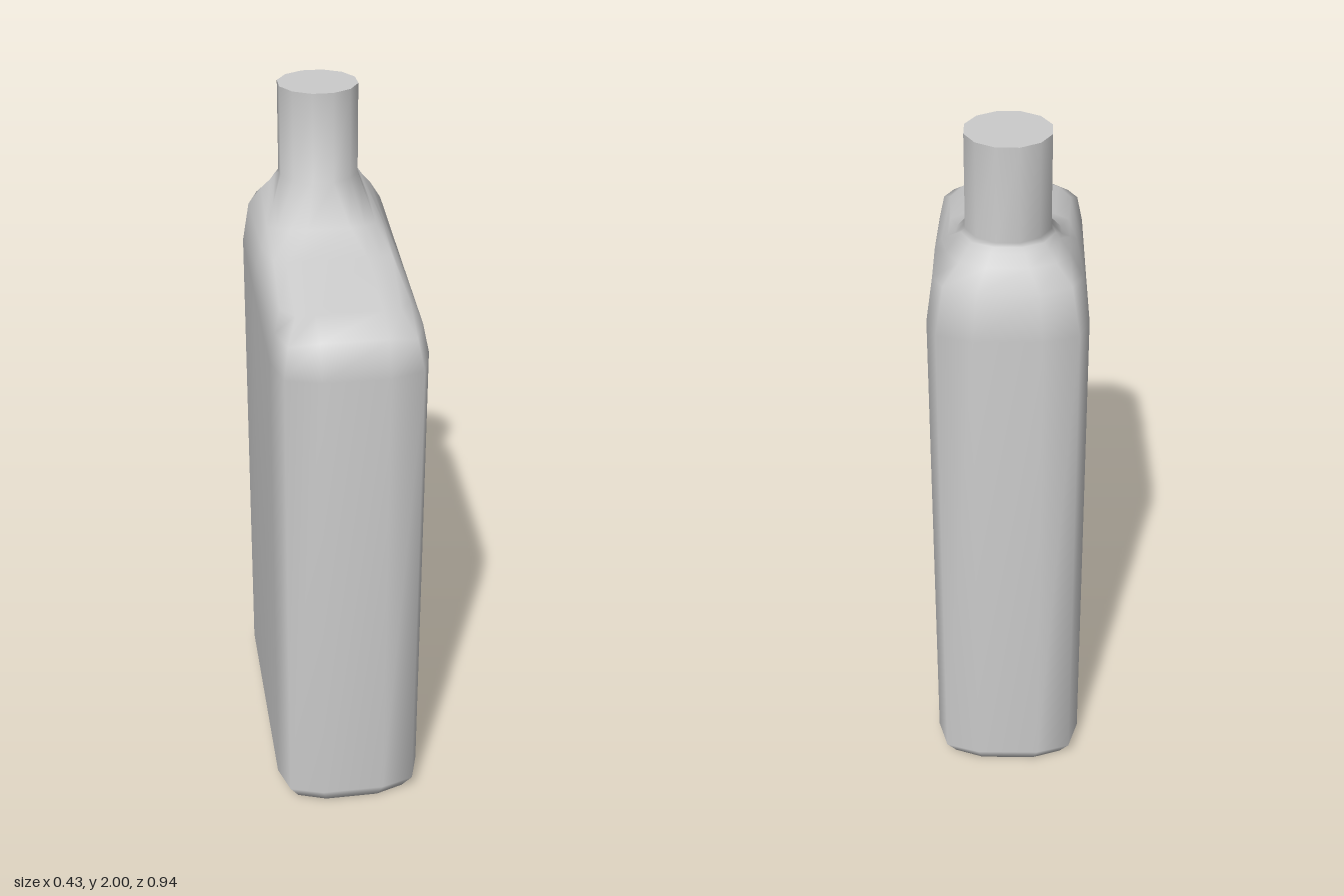
import * as THREE from 'three';

// Half outline of the body seen from above, front to back: [x, z]
const OUTLINE = [[0.09, 0.47], [0.185, 0.44], [0.213, 0.35], [0.213, -0.04], [0.213, -0.35], [0.185, -0.44], [0.09, -0.47]];
const WALL_TOP = [1.43, 1.43, 1.44, 1.47, 1.5, 1.51, 1.51];
const NECK_Z = -0.257, NECK_R = 0.115;

// Half rings of the sloping shoulder, from the wall up to the neck: [x, y, z]
const SHOULDER = [
  [[0.09, 1.53, 0.44], [0.17, 1.51, 0.41], [0.197, 1.52, 0.34], [0.205, 1.55, -0.04], [0.196, 1.62, -0.33], [0.165, 1.63, -0.4], [0.08, 1.63, -0.435]],
  [[0.09, 1.57, 0.35], [0.14, 1.56, 0.33], [0.175, 1.555, 0.27], [0.185, 1.59, -0.06], [0.16, 1.68, -0.3], [0.125, 1.68, -0.365], [0.055, 1.685, -0.4]],
  [[0.09, 1.605, 0.08], [0.13, 1.6, 0.07], [0.165, 1.595, 0.05], [0.165, 1.63, -0.12], [0.135, 1.71, -0.285], [0.105, 1.71, -0.35], [0.045, 1.715, -0.38]],
  [[0.06, 1.65, -0.03], [0.105, 1.645, -0.05], [0.14, 1.64, -0.08], [0.14, 1.67, -0.18], [0.122, 1.728, -0.285], [0.092, 1.728, -0.343], [0.037, 1.73, -0.372]],
];

// Half of a twelve-sided neck ring, with an extra point mid-side
function neckRing(y) {
  const ring = [75, 45, 15, -15, -45, -75].map((deg) => {
    const a = THREE.MathUtils.degToRad(deg);
    return [NECK_R * Math.cos(a), y, NECK_Z + NECK_R * Math.sin(a)];
  });
  ring.splice(3, 0, [ring[2][0], y, NECK_Z]);
  return ring;
}

// Mirror a half ring across x = 0 into a closed ring
const mirrorRing = (half) => [...half, ...half.slice().reverse().map(([x, y, z]) => [-x, y, z])];

// Smooth skin through the rings, closed underneath
function loft(rings) {
  const n = rings[0].length;
  const positions = rings.flat(2);
  const index = [];
  for (let i = 0; i < rings.length - 1; i++) {
    for (let j = 0; j < n; j++) {
      const k = (j + 1) % n;
      const a = i * n + j, b = i * n + k, c = a + n, d = b + n;
      index.push(a, b, d, a, d, c);
    }
  }
  const centre = positions.length / 3;
  positions.push(0, 0, 0);
  for (let j = 0; j < n; j++) index.push(centre, (j + 1) % n, j);
  const geometry = new THREE.BufferGeometry();
  geometry.setAttribute('position', new THREE.Float32BufferAttribute(positions, 3));
  geometry.setIndex(index);
  geometry.computeVertexNormals();
  return geometry;
}

export function createModel() {
  const group = new THREE.Group();
  group.name = 'bottle';
  const material = new THREE.MeshStandardMaterial({ color: 0xcccccc });

  // Body: bevelled foot, straight walls, sloping shoulder and neck
  const rings = [
    OUTLINE.map(([x, z]) => [x * 0.86, 0, z * 0.94]),
    OUTLINE.map(([x, z]) => [x, 0.05, z]),
    OUTLINE.map(([x, z], i) => [x, WALL_TOP[i], z]),
    ...SHOULDER,
    neckRing(1.74),
    neckRing(2),
  ].map(mirrorRing);
  const body = new THREE.Mesh(loft(rings), material);
  body.name = 'body';
  group.add(body);

  // Flat lid closing the neck
  const lid = new THREE.Mesh(new THREE.CircleGeometry(NECK_R, 12, Math.PI / 12), material);
  lid.name = 'neckTop';
  lid.rotation.x = -Math.PI / 2;
  lid.position.set(0, 2, NECK_Z);
  group.add(lid);

  return group;
}
